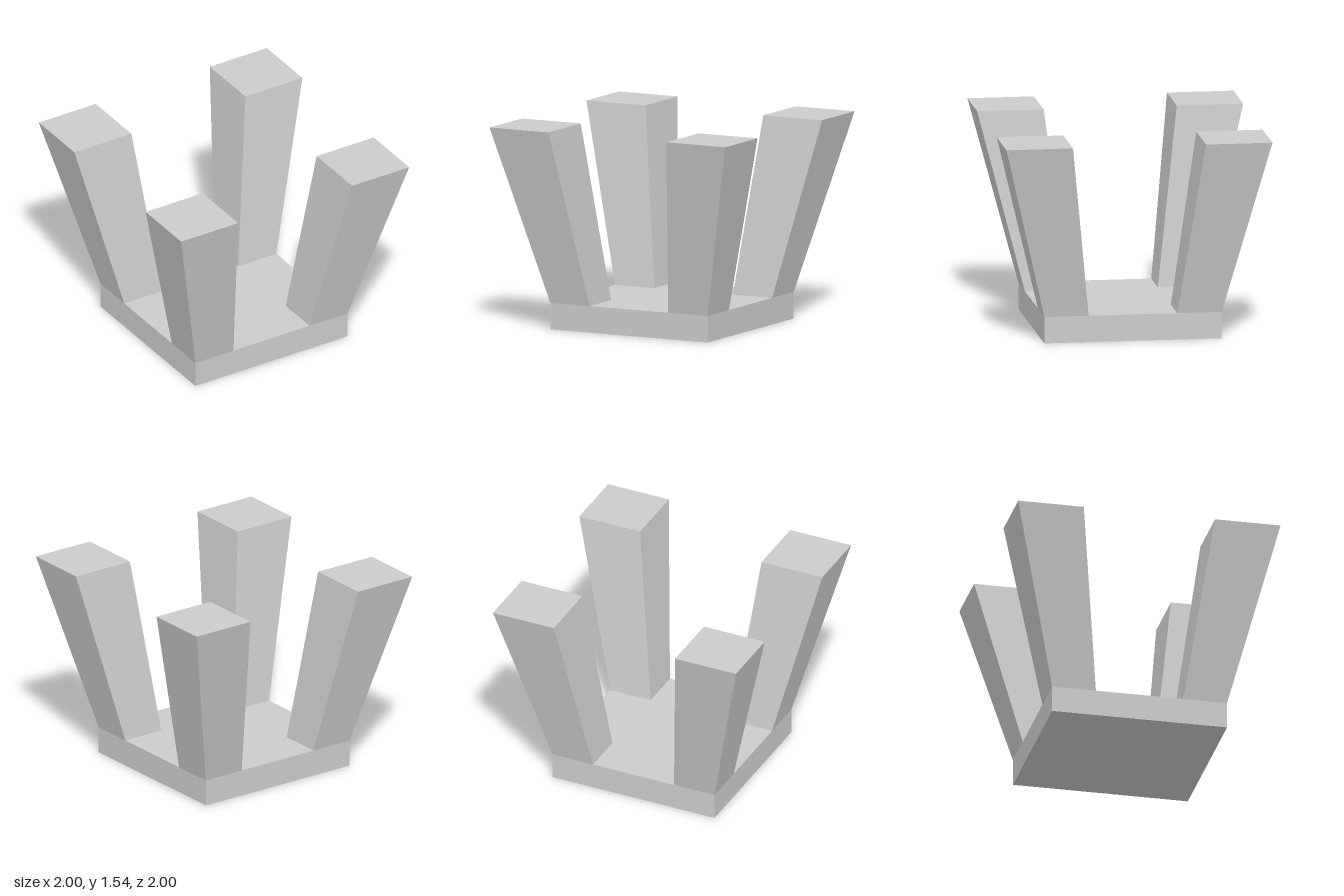
import * as THREE from 'three';

const BASE_WIDTH = 4 / 3, BASE_HEIGHT = 0.2, TOP = 1.54;

// Square post whose section grows from 1/3 to 1/2 wide while leaning outwards
function createPostGeometry(sx, sz) {
  const geometry = new THREE.BoxGeometry(1, 1, 1);
  const p = geometry.attributes.position;
  for (let i = 0; i < p.count; i++) {
    const upper = p.getY(i) > 0;
    const width = upper ? 1 / 2 : 1 / 3;
    const offset = upper ? 0.75 : 0.5;
    p.setXYZ(
      i,
      sx * offset + p.getX(i) * width,
      upper ? TOP : BASE_HEIGHT,
      sz * offset + p.getZ(i) * width
    );
  }
  geometry.computeVertexNormals();
  return geometry;
}

export function createModel() {
  const group = new THREE.Group();
  const material = new THREE.MeshStandardMaterial({ color: 0xcccccc, flatShading: true });

  const add = (name, geometry) => {
    const mesh = new THREE.Mesh(geometry, material);
    mesh.name = name;
    group.add(mesh);
    return mesh;
  };

  // Square base slab
  add('base', new THREE.BoxGeometry(BASE_WIDTH, BASE_HEIGHT, BASE_WIDTH)).position.y = BASE_HEIGHT / 2;

  // One flared post on each corner
  for (const [side, sx] of [['Left', 1], ['Right', -1]]) {
    for (const [end, sz] of [['front', 1], ['back', -1]]) {
      add(`${end}${side}Post`, createPostGeometry(sx, sz));
    }
  }

  return group;
}
